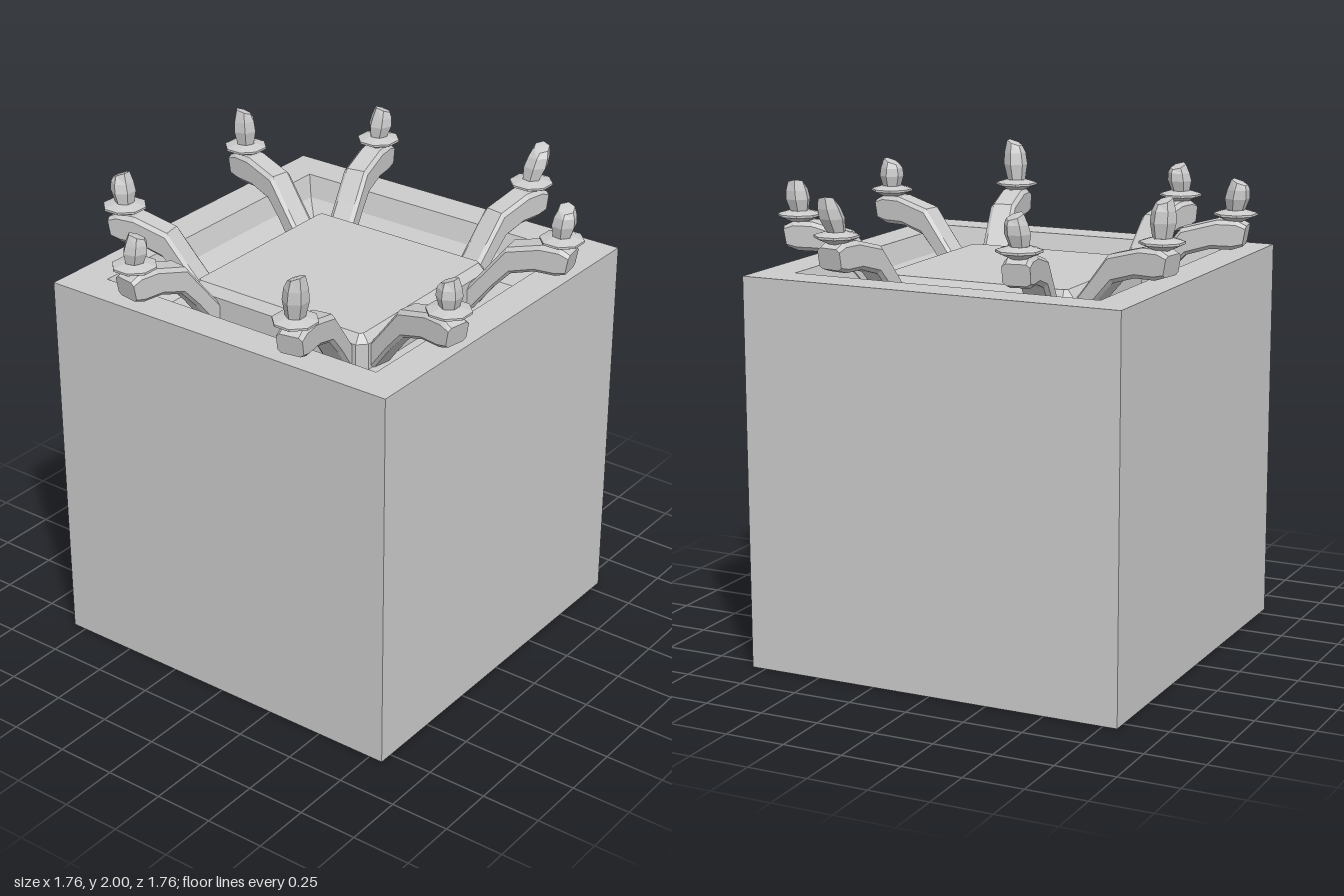
import * as THREE from 'three';

const grey = new THREE.MeshStandardMaterial({ color: 0xcccccc, flatShading: true });

function part(name, geometry) {
  const mesh = new THREE.Mesh(geometry, grey);
  mesh.name = name;
  return mesh;
}

// Square solid from a (half-width, height) profile
function squareTurn(profile) {
  const points = profile.map(([h, y]) => new THREE.Vector2(h * Math.SQRT2, y));
  return new THREE.LatheGeometry(points, 4, Math.PI / 4);
}

// Joins rings of equal size into a closed solid, flat capped at both ends
function loft(rings) {
  const n = rings[0].length, index = [];
  for (let i = 0; i < rings.length - 1; i++) {
    for (let j = 0; j < n; j++) {
      const a = i * n + j, b = i * n + (j + 1) % n;
      index.push(a, b, b + n, a, b + n, a + n);
    }
  }
  const end = (rings.length - 1) * n;
  for (let j = 1; j < n - 1; j++) {
    index.push(0, j + 1, j, end, end + j, end + j + 1);
  }
  const geometry = new THREE.BufferGeometry();
  geometry.setAttribute('position', new THREE.Float32BufferAttribute(rings.flat(2), 3));
  geometry.setIndex(index);
  geometry.computeVertexNormals();
  return geometry;
}

// Square outline with cut corners, anticlockwise
function cutSquare(h, c) {
  const k = h - c;
  return [[h, -k], [h, k], [k, h], [-k, h], [-h, k], [-h, -k], [-k, -h], [k, -h]];
}

// Curved arm running out along +z: each station is top z, y then bottom z, y
function armGeometry() {
  const stations = [
    [0.41, 1.52, 0.44, 1.43],
    [0.50, 1.63, 0.54, 1.56],
    [0.59, 1.745, 0.61, 1.635],
    [0.74, 1.785, 0.71, 1.665],
    [0.82, 1.785, 0.80, 1.665],
    [0.86, 1.765, 0.845, 1.68],
  ];
  const section = cutSquare(1, 0.28);
  return loft(stations.map(([tz, ty, bz, by]) => section.map(([u, v]) => {
    const t = (v + 1) / 2;
    return [u * 0.055, by + (ty - by) * t, bz + (tz - bz) * t];
  })));
}

// Six-sided stub with a leaning, slanted broken top
function candleGeometry(top, leanX, leanZ, seed) {
  const low = 1.82, tall = top - low;
  const profile = [[0, 0], [0.038, 0], [0.052, 0.4], [0.047, 0.68], [0.034, 0.92], [0, 0.94]];
  const points = profile.map(([r, t]) => new THREE.Vector2(r, low + t * tall));
  const geometry = new THREE.LatheGeometry(points, 6, seed);
  const p = geometry.attributes.position;
  for (let i = 0; i < p.count; i++) {
    const x = p.getX(i), y = p.getY(i), z = p.getZ(i), t = (y - low) / tall;
    const slant = t > 0.85 ? 0.4 * (x * Math.cos(seed * 3) + z * Math.sin(seed * 3)) : 0;
    p.setXYZ(i, x + leanX * t, y + slant, z + leanZ * t);
  }
  return geometry;
}

export function createModel() {
  const model = new THREE.Group();
  model.name = 'pedestalWithCandleArms';

  // Hollow cube: shaft open below, stepped sloping recess on top
  model.add(part('cubeBody', squareTurn([
    [0, 1.40], [0.42, 1.40], [0.42, 0], [0.81, 0], [0.81, 1.62],
    [0.66, 1.62], [0.63, 1.53], [0.55, 1.45], [0, 1.45],
  ])));

  // Bevelled centre block standing in the recess
  const blockRings = [[0.435, 0.035, 1.44], [0.435, 0.035, 1.56], [0.405, 0.012, 1.595]];
  model.add(part('centreBlock', loft(blockRings.map(
    ([h, c, y]) => cutSquare(h, c).map(([u, v]) => [v, y, u])))));

  const arm = armGeometry();
  const dish = new THREE.LatheGeometry([
    [0, 1.765], [0.05, 1.785], [0.09, 1.803], [0.09, 1.812], [0.045, 1.825], [0, 1.825],
  ].map(([r, y]) => new THREE.Vector2(r, y)), 8, Math.PI / 8);

  // Per candle: top height, lean in x and z; two per side, front, left, back, right
  const candles = [
    [2.0, 0.015, 0.01], [1.94, 0.01, -0.01],
    [1.95, 0.01, -0.01], [1.94, 0, 0],
    [1.95, 0.01, -0.02], [1.965, 0.02, -0.045],
    [1.95, -0.02, -0.01], [1.98, -0.005, 0.005],
  ];
  const splay = THREE.MathUtils.degToRad(10);
  candles.forEach(([top, leanX, leanZ], i) => {
    const s = i % 2 ? -1 : 1;
    const turn = Math.floor(i / 2) * Math.PI / 2;

    // Arm splayed outwards from the side of the block
    const side = new THREE.Group();
    side.name = 'armSide';
    side.rotation.y = turn;
    const armMesh = part('arm', arm);
    armMesh.position.x = s * 0.25;
    armMesh.rotation.y = s * splay;
    side.add(armMesh);
    model.add(side);

    // Drip dish and candle at the arm's tip
    const holder = new THREE.Group();
    holder.name = 'candleHolder';
    holder.position.set(s * 0.39, 0, 0.795).applyAxisAngle(new THREE.Vector3(0, 1, 0), turn);
    holder.add(part('dripDish', dish), part('candle', candleGeometry(top, leanX, leanZ, i * 0.7)));
    model.add(holder);
  });
  return model;
}
